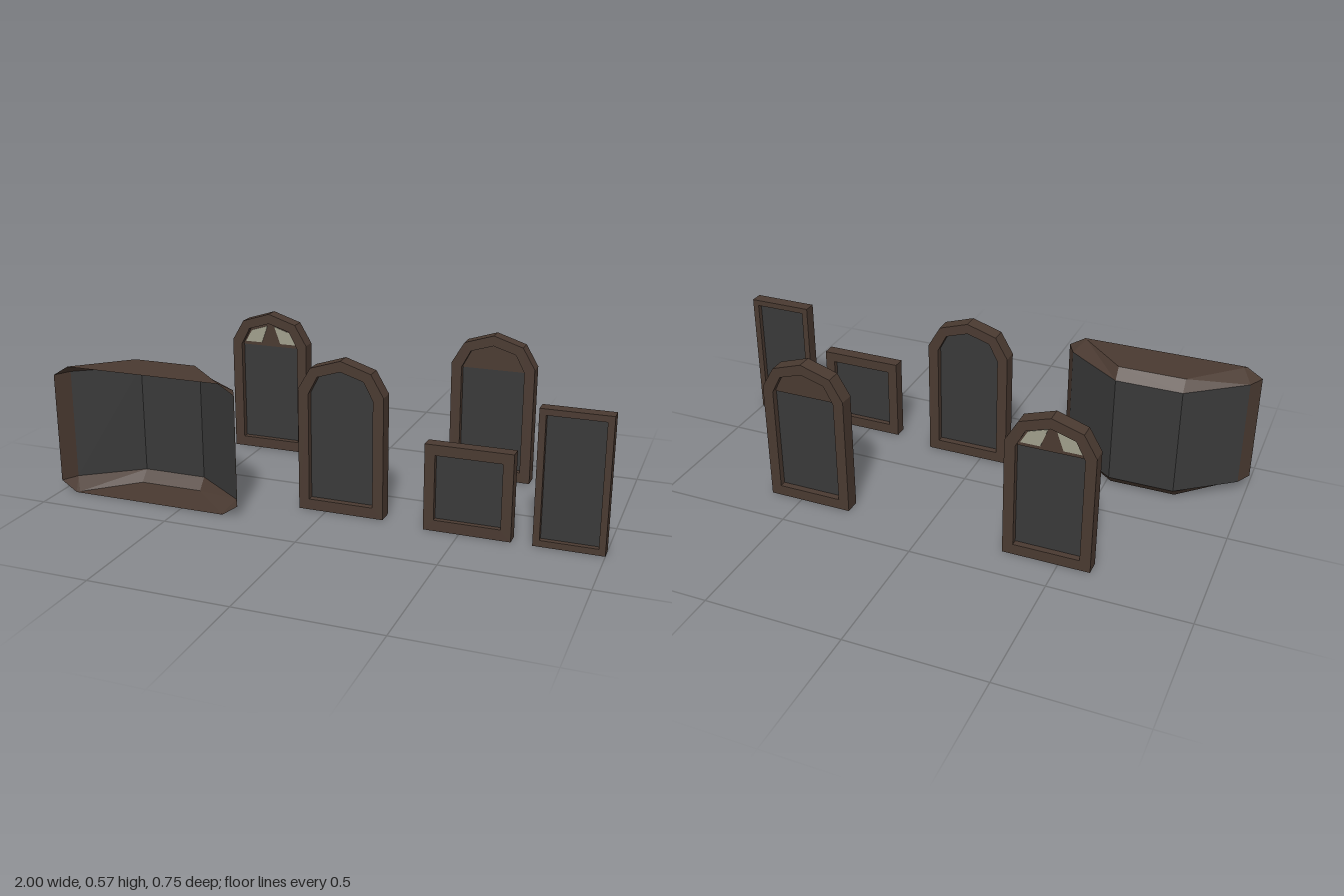
import * as THREE from 'three';

const mat = (name, color, side = THREE.FrontSide) => {
  const m = new THREE.MeshStandardMaterial({ color, side });
  m.name = name;
  return m;
};

export function createModel() {
  const root = new THREE.Group();
  root.name = 'windowSet';
  const wood = mat('dark wood', 0x4a3a31);
  const glass = mat('dark glass', 0x393939);
  const pale = mat('pale glass', 0xa09f8c);
  const woodShell = mat('dark wood shell', 0x4a3a31, THREE.DoubleSide);
  const glassShell = mat('dark glass shell', 0x393939, THREE.DoubleSide);

  const shapeOf = (pts) => new THREE.Shape(pts.map(([x, y]) => new THREE.Vector2(x, y)));

  // Flat plate of given thickness, centred on z = 0
  const plate = (name, shape, depth, material, parent) => {
    const geo = new THREE.ExtrudeGeometry(shape, { depth, bevelEnabled: false });
    geo.translate(0, 0, -depth / 2);
    const mesh = new THREE.Mesh(geo, material);
    mesh.name = name;
    parent.add(mesh);
  };

  // Frame ring with a recessed pane in the middle of its depth
  const makeWindow = (name, outer, inner, depth, x, z) => {
    const g = new THREE.Group();
    g.name = name;
    const ring = shapeOf(outer);
    ring.holes.push(new THREE.Path(inner.map(([a, b]) => new THREE.Vector2(a, b))));
    plate('frame', ring, depth, wood, g);
    plate('pane', shapeOf(inner), 0.008, glass, g);
    g.position.set(x, 0, z);
    root.add(g);
    return g;
  };

  const rect = (w, y0, y1) => [[-w, y0], [w, y0], [w, y1], [-w, y1]];
  const arch = (w, y0, y1, sx, sy, top) =>
    [[-w, y0], [w, y0], [w, y1], [sx, sy], [0, top], [-sx, sy], [-w, y1]];

  // Arched windows
  const outerArch = arch(0.159, 0, 0.45, 0.112, 0.53, 0.566);
  const innerArch = arch(0.12, 0.04, 0.435, 0.086, 0.5, 0.527);
  makeWindow('archedWindow', outerArch, innerArch, 0.058, 0.056, 0.19);
  const panelled = makeWindow('panelledArchedWindow', outerArch, innerArch, 0.058, 0.464, -0.333);
  const fanlight = makeWindow('fanlightArchedWindow', outerArch, innerArch, 0.056, -0.456, -0.347);

  // Wooden infill of the arch heads
  const head = arch(0.12, 0.43, 0.435, 0.086, 0.5, 0.527);
  for (const g of [panelled, fanlight]) plate('archPanel', shapeOf(head), 0.016, wood, g);

  // Pale fanlight panes, mirrored
  for (const s of [-1, 1]) {
    const pts = [[0.11, 0.443], [0.083, 0.49], [0.015, 0.512], [0.04, 0.443]];
    plate('fanlightPane', shapeOf(pts.map(([x, y]) => [x * s, y])), 0.02, pale, fanlight);
  }

  // Rectangular windows
  makeWindow('smallWindow', rect(0.155, 0, 0.315), rect(0.118, 0.04, 0.277), 0.048, 0.527, 0.22);
  makeWindow('tallWindow', rect(0.122, 0, 0.486), rect(0.099, 0.023, 0.464), 0.048, 0.878, 0.22);

  // Bay window: open shell swept through four levels
  const mid = [[-1, 0.375], [-0.968, 0.315], [-0.762, 0.16], [-0.517, 0.16], [-0.307, 0.315], [-0.275, 0.375]];
  const cap = [[-0.94, 0.375], [-0.932, 0.365], [-0.76, 0.2], [-0.515, 0.2], [-0.343, 0.365], [-0.335, 0.375]];
  const levels = [[cap, 0], [mid, 0.04], [mid, 0.45], [cap, 0.487]];
  const at = (l, i) => [levels[l][0][i][0], levels[l][1], levels[l][0][i][1]];
  const woodPos = [], glassPos = [];
  const quad = (out, a, b, c, d) => out.push(...a, ...b, ...c, ...a, ...c, ...d);
  for (let l = 0; l < 3; l++) {
    for (let i = 0; i < 5; i++) {
      const isGlass = l === 1 && i > 0 && i < 4;
      quad(isGlass ? glassPos : woodPos, at(l, i), at(l + 1, i), at(l + 1, i + 1), at(l, i + 1));
    }
  }
  // Floor and roof, in strips from side to side
  for (let i = 0; i < 2; i++) {
    quad(woodPos, at(0, i), at(0, i + 1), at(0, 4 - i), at(0, 5 - i));
    quad(woodPos, at(3, i), at(3, 5 - i), at(3, 4 - i), at(3, i + 1));
  }
  const bay = new THREE.Group();
  bay.name = 'bayWindow';
  for (const [name, pos, m] of [['bayFrame', woodPos, woodShell], ['bayPanes', glassPos, glassShell]]) {
    const geo = new THREE.BufferGeometry();
    geo.setAttribute('position', new THREE.Float32BufferAttribute(pos, 3));
    geo.computeVertexNormals();
    const mesh = new THREE.Mesh(geo, m);
    mesh.name = name;
    bay.add(mesh);
  }
  root.add(bay);
  return root;
}
